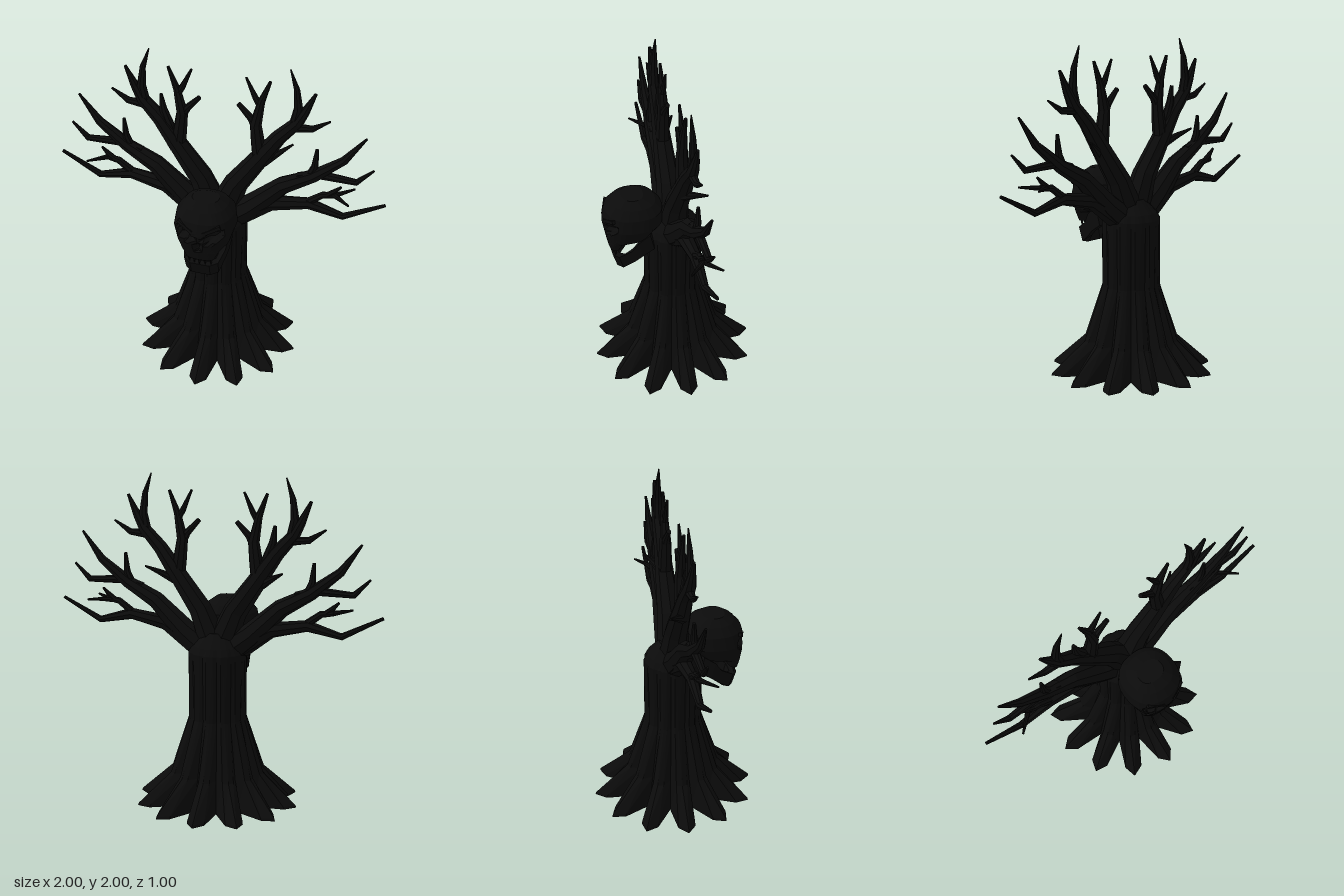
import * as THREE from 'three';

const bark = new THREE.MeshStandardMaterial({ color: 0x0b0b0b, flatShading: true });
bark.name = 'black bark';

const V = (x, y, z) => new THREE.Vector3(x, y, z);

// Closed skin over equal-length rings, each counter-clockwise about the travel direction
function loft(rings) {
  const n = rings[0].length, pos = [], idx = [];
  for (const r of rings) for (const p of r) pos.push(p.x, p.y, p.z);
  for (let i = 0; i < rings.length - 1; i++) {
    for (let j = 0; j < n; j++) {
      const k = (j + 1) % n, a = i * n + j, b = i * n + k, c = a + n, d = b + n;
      idx.push(a, b, d, a, d, c);
    }
  }
  [0, rings.length - 1].forEach((ri) => {
    const mid = rings[ri].reduce((s, p) => s.add(p), V(0, 0, 0)).divideScalar(n);
    const m = pos.length / 3;
    pos.push(mid.x, mid.y, mid.z);
    for (let j = 0; j < n; j++) {
      const a = ri * n + j, b = ri * n + ((j + 1) % n);
      if (ri === 0) idx.push(m, b, a); else idx.push(m, a, b);
    }
  });
  const g = new THREE.BufferGeometry();
  g.setAttribute('position', new THREE.Float32BufferAttribute(pos, 3));
  g.setIndex(idx);
  g.computeVertexNormals();
  return g;
}

function part(parent, name, geometry) {
  const m = new THREE.Mesh(geometry, bark);
  m.name = name;
  parent.add(m);
  return m;
}

// Tapered limb through points [x, y, radius, z]
function limb(points, side) {
  const P = points.map(([x, y, , z = 0]) => V(x * side, y, z));
  const rings = P.map((p, i) => {
    const t = V(0, 0, 0);
    if (i > 0) t.add(p.clone().sub(P[i - 1]).normalize());
    if (i < P.length - 1) t.add(P[i + 1].clone().sub(p).normalize());
    t.normalize();
    const u = V(0, 0, 1).cross(t).normalize(), v = t.clone().cross(u);
    return Array.from({ length: 8 }, (_, k) => {
      const a = (k / 8) * Math.PI * 2;
      return p.clone().addScaledVector(u, points[i][2] * Math.cos(a)).addScaledVector(v, points[i][2] * Math.sin(a));
    });
  });
  return loft(rings);
}

// Fluted trunk spreading into twelve pointed roots: [y, crest, shoulder, valley]
function trunkGeometry() {
  const levels = [
    [0.06, 0.2, 0.2, 0.19], [0, 0.5, 0.44, 0.26], [0.015, 0.495, 0.435, 0.26],
    [0.2, 0.292, 0.278, 0.225], [0.54, 0.178, 0.176, 0.162], [0.95, 0.176, 0.176, 0.17],
    [0.99, 0.155, 0.155, 0.152], [1.07, 0.08, 0.08, 0.08],
  ];
  return loft(levels.map(([y, crest, shoulder, valley]) => {
    const ring = [];
    for (let i = 0; i < 12; i++) {
      [[-15, valley], [-7, shoulder], [0, crest], [7, shoulder]].forEach(([off, r]) => {
        const a = THREE.MathUtils.degToRad(i * 30 + off);
        ring.push(V(r * Math.cos(a), y, -r * Math.sin(a)));
      });
    }
    return ring;
  }));
}

// Skull from horizontal sections, with eye and nose hollows pressed in
function skullGeometry() {
  const keys = [ // y, half width, back z, front z
    [0.89, 0.085, 0.33, 0.395], [0.95, 0.115, 0.3, 0.408], [0.985, 0.155, 0.15, 0.415],
    [1.07, 0.18, 0.07, 0.43], [1.15, 0.168, 0.07, 0.41], [1.2, 0.13, 0.11, 0.365], [1.236, 0.08, 0.18, 0.31],
  ];
  const rings = [];
  keys.forEach((k, i) => {
    const next = keys[i + 1];
    const steps = next ? 4 : 1;
    for (let s = 0; s < steps; s++) {
      const [y, w, back, front] = k.map((val, c) => (next ? val + (next[c] - val) * s / steps : val));
      const zc = (back + front) / 2, d = (front - back) / 2;
      rings.push(Array.from({ length: 40 }, (_, j) => {
        const a = (j / 40) * Math.PI * 2, c = Math.cos(a), sn = Math.sin(a);
        const p = V(w * Math.sign(c) * Math.abs(c) ** 0.85, y, zc - d * Math.sign(sn) * Math.abs(sn) ** 0.85);
        if (p.z > zc) {
          const ex = Math.abs(p.x) - 0.085, ey = y - 1.065;
          const eye = ((ex * 0.88 + ey * 0.47) / 0.062) ** 2 + ((ey * 0.88 - ex * 0.47) / 0.036) ** 2;
          const nose = (p.x / 0.03) ** 2 + ((y - 0.985) / 0.035) ** 2;
          p.z -= 0.07 * Math.max(0, 1 - eye * eye) + 0.04 * Math.max(0, 1 - nose);
        }
        return p;
      }));
    }
  });
  return loft(rings);
}

// Horseshoe jaw: stations of [x, z, top, bottom]
function jawGeometry() {
  const half = [[0.135, 0.16, 1.01, 0.9], [0.135, 0.23, 0.96, 0.855], [0.125, 0.27, 0.9, 0.82],
    [0.105, 0.345, 0.855, 0.768], [0.06, 0.375, 0.845, 0.76]];
  const stations = [...half.map(([x, ...r]) => [-x, ...r]), ...half.slice().reverse()];
  return loft(stations.map(([x, z, top, bottom]) => {
    const xi = x * 0.75, zi = z - 0.035 * (z > 0.3 ? 1 : 0.2);
    return [V(x, top, z + 0.006), V(x * 0.95, bottom, z - 0.02), V(xi, bottom, zi - 0.02), V(xi, top, zi)];
  }));
}

const LIMBS = {
  upperBough: [[0, 0.93, 0.1], [0.11, 1.2, 0.072], [0.27, 1.43, 0.055], [0.36, 1.56, 0.045], [0.46, 1.67, 0.037], [0.505, 1.75, 0.026], [0.56, 1.87, 0.009]],
  crownBranch: [[0.44, 1.64, 0.03], [0.465, 1.76, 0.027], [0.452, 1.88, 0.018], [0.412, 2.0, 0.004]],
  crownSideTwig: [[0.43, 1.635, 0.028], [0.55, 1.645, 0.02], [0.65, 1.71, 0.006]],
  innerBranch: [[0.25, 1.38, 0.045], [0.235, 1.5, 0.042], [0.22, 1.62, 0.035], [0.25, 1.77, 0.022], [0.3, 1.905, 0.009]],
  innerLowTwig: [[0.23, 1.58, 0.028], [0.19, 1.655, 0.022], [0.115, 1.735, 0.014]],
  innerTopTwig: [[0.25, 1.73, 0.02], [0.215, 1.79, 0.018], [0.16, 1.91, 0.007]],
  rearTwig: [[0.27, 1.37, 0.03], [0.35, 1.42, 0.018, -0.05], [0.42, 1.46, 0.006, -0.1]],
  middleBough: [[0.04, 0.93, 0.095], [0.21, 1.06, 0.075], [0.39, 1.235, 0.055], [0.57, 1.335, 0.04], [0.74, 1.47, 0.026], [0.86, 1.635, 0.007]],
  middleSideBranch: [[0.48, 1.31, 0.03], [0.6, 1.35, 0.027], [0.82, 1.34, 0.02], [0.915, 1.435, 0.007]],
  middleTwig: [[0.54, 1.32, 0.025], [0.575, 1.4, 0.022], [0.583, 1.515, 0.01]],
  lowerBough: [[0.15, 0.99, 0.07], [0.33, 1.1, 0.048], [0.55, 1.14, 0.035], [0.755, 1.09, 0.021], [0.995, 1.215, 0.01]],
  lowerSideBranch: [[0.53, 1.14, 0.025], [0.63, 1.215, 0.021], [0.7, 1.225, 0.017], [0.8, 1.23, 0.006, 0.09]],
  lowerUpTwig: [[0.65, 1.215, 0.018], [0.7, 1.255, 0.015], [0.735, 1.29, 0.007]],
};

export function createModel() {
  const tree = new THREE.Group();
  tree.name = 'skullTree';
  part(tree, 'trunkAndRoots', trunkGeometry());

  // Branches on both sides
  for (const side of [1, -1]) {
    const group = new THREE.Group();
    group.name = side > 0 ? 'leftBranches' : 'rightBranches';
    for (const [name, pts] of Object.entries(LIMBS)) part(group, name, limb(pts, side));
    tree.add(group);
  }
  // Odd twigs that break the symmetry
  part(tree, 'rightSpur', limb([[0.29, 1.5, 0.03], [0.335, 1.62, 0.024], [0.347, 1.72, 0.01]], -1));
  part(tree, 'leftRearTwig', limb([[0.68, 1.22, 0.018], [0.73, 1.225, 0.013, -0.03], [0.8, 1.23, 0.006, -0.09]], 1));

  // Skull on the front of the trunk
  const skull = new THREE.Group();
  skull.name = 'skull';
  part(skull, 'cranium', skullGeometry());
  part(skull, 'jaw', jawGeometry());
  for (const side of [1, -1]) {
    const brow = part(skull, 'brow', new THREE.BoxGeometry(0.11, 0.022, 0.04));
    brow.position.set(side * 0.075, 1.115, 0.388);
    brow.rotation.set(0, side * 0.35, side * 0.42);
  }
  // Teeth
  for (let i = -2; i <= 2; i++) {
    const tooth = part(skull, 'tooth', new THREE.ConeGeometry(0.015, 0.06, 4));
    tooth.position.set(i * 0.033, 0.872, 0.38 - Math.abs(i) * 0.008);
    tooth.rotation.x = Math.PI;
  }
  tree.add(skull);
  return tree;
}
